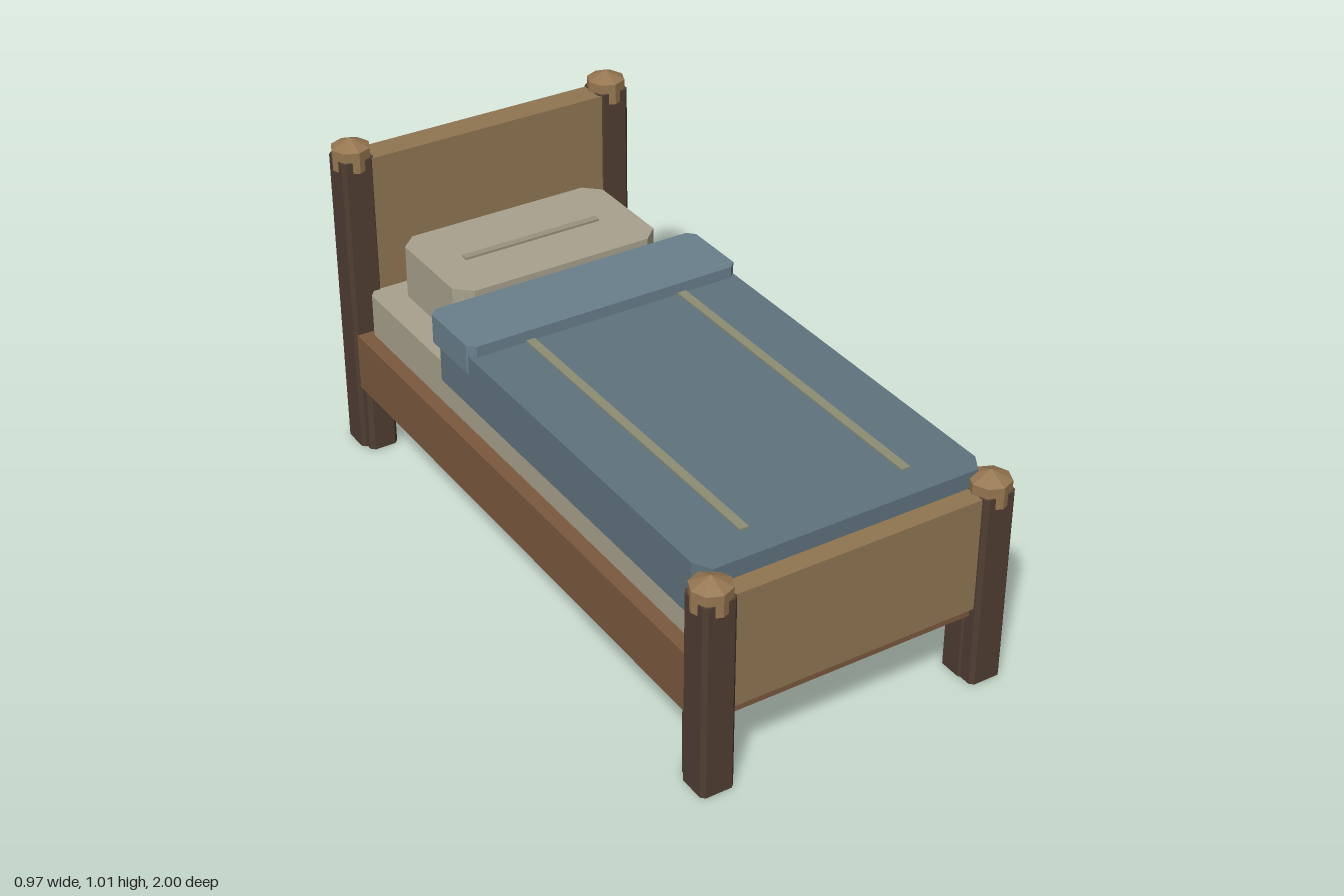
import * as THREE from 'three';

const mat = (color) => new THREE.MeshStandardMaterial({ color, flatShading: true });
const WOOD_DARK = mat(0x503e33);
const WOOD_RAIL = mat(0x7b593d);
const WOOD_PANEL = mat(0x8f7552);
const WOOD_CAP = mat(0x957650);
const LINEN = mat(0xa8a18d);
const BLANKET = mat(0x5f727d);
const FOLD = mat(0x6a7f8c);
const STRIPE = mat(0x8c8d72);
const SEAM = mat(0x98917d);

// Upright slab with cut corners in plan; x, y, z are [min, max], cx and cz the size of the cut
function slab(name, material, x, y, z, cx = 0, cz = cx) {
  const w = (x[1] - x[0]) / 2, d = (z[1] - z[0]) / 2, h = y[1] - y[0];
  let geo;
  if (cx > 0) {
    const corners = [
      [-w + cx, -d], [w - cx, -d], [w, -d + cz], [w, d - cz],
      [w - cx, d], [-w + cx, d], [-w, d - cz], [-w, -d + cz],
    ];
    const shape = new THREE.Shape(corners.map(([a, b]) => new THREE.Vector2(a, b)));
    geo = new THREE.ExtrudeGeometry(shape, { depth: h, bevelEnabled: false });
    geo.rotateX(-Math.PI / 2).translate(0, -h / 2, 0);
  } else {
    geo = new THREE.BoxGeometry(2 * w, h, 2 * d);
  }
  const mesh = new THREE.Mesh(geo, material);
  mesh.name = name;
  mesh.position.set((x[0] + x[1]) / 2, (y[0] + y[1]) / 2, (z[0] + z[1]) / 2);
  return mesh;
}

// Corner post with an inner leg block and an eight-sided pointed cap
function bedPost(name, sx, sz, top) {
  const post = new THREE.Group();
  post.name = name;
  post.add(slab('postShaft', WOOD_DARK, [-0.05, 0.05], [0, top], [-0.05, 0.05], 0.011));
  const legX = -sx * 0.01, legZ = -sz * 0.035;
  post.add(slab('innerLeg', WOOD_DARK, [legX - 0.045, legX + 0.045], [0, 0.3],
    [legZ - 0.045, legZ + 0.045], 0.012));

  const r = 0.058;
  const base = new THREE.Mesh(new THREE.CylinderGeometry(r, r, 0.064, 8), WOOD_CAP);
  base.name = 'capBase';
  base.position.y = top - 0.003;
  const tip = new THREE.Mesh(new THREE.ConeGeometry(r, 0.027, 8), WOOD_CAP);
  tip.name = 'capPoint';
  tip.position.y = top + 0.029 + 0.0135;
  post.add(base, tip);
  post.position.set(sx * 0.425, 0, sz * 0.942);
  return post;
}

export function createModel() {
  const bed = new THREE.Group();
  bed.name = 'bed';

  // Four posts, taller at the head
  for (const [side, sx] of [['left', 1], ['right', -1]]) {
    bed.add(bedPost(side + 'HeadPost', sx, -1, 0.956));
    bed.add(bedPost(side + 'FootPost', sx, 1, 0.592));
  }

  // Frame and end panels
  bed.add(slab('bedFrame', WOOD_RAIL, [-0.467, 0.467], [0.213, 0.393], [-0.96, 0.96]));
  bed.add(slab('headboard', WOOD_PANEL, [-0.4, 0.4], [0.245, 0.953], [-0.98, -0.895]));
  bed.add(slab('footboard', WOOD_PANEL, [-0.4, 0.4], [0.245, 0.59], [0.895, 0.976]));

  // Bedding
  bed.add(slab('mattress', LINEN, [-0.423, 0.423], [0.38, 0.526], [-0.895, 0.895], 0.02, 0.025));
  bed.add(slab('blanket', BLANKET, [-0.433, 0.433], [0.477, 0.64], [-0.472, 0.917], 0.03, 0.05));
  bed.add(slab('blanketFold', FOLD, [-0.437, 0.437], [0.585, 0.674], [-0.477, -0.237], 0.022));
  bed.add(slab('pillow', LINEN, [-0.334, 0.334], [0.52, 0.69], [-0.858, -0.482], 0.048, 0.045));
  bed.add(slab('pillowSeam', SEAM, [-0.222, 0.222], [0.68, 0.697], [-0.673, -0.65]));
  for (const s of [1, -1]) {
    bed.add(slab(s > 0 ? 'leftStripe' : 'rightStripe', STRIPE,
      [s * 0.247 - 0.0135, s * 0.247 + 0.0135], [0.63, 0.645], [-0.26, 0.82]));
  }
  return bed;
}
